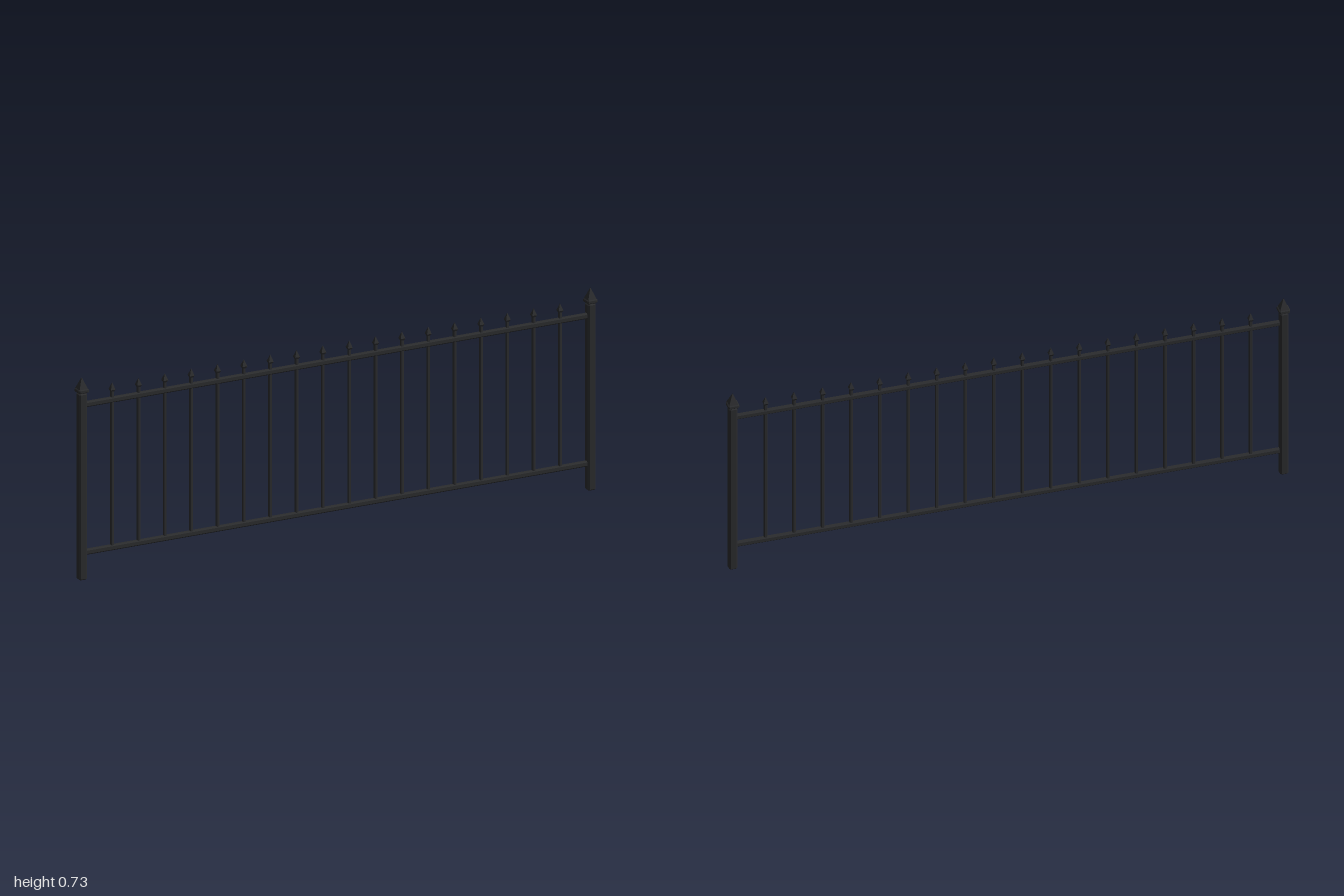
import * as THREE from 'three';

const iron = new THREE.MeshStandardMaterial({ color: 0x2a2b2d });
iron.name = 'blackIron';

// Box with every edge chamfered by c, running along +y from y = 0
function chamferedBar(w, length, d, c) {
  const x = w / 2 - c, z = d / 2 - c, k = c * 0.8;
  const shape = new THREE.Shape([
    [x - k, -z], [x, -z + k], [x, z - k], [x - k, z],
    [-x + k, z], [-x, z - k], [-x, -z + k], [-x + k, -z],
  ].map(([a, b]) => new THREE.Vector2(a, b)));
  const geo = new THREE.ExtrudeGeometry(shape, {
    depth: length - 2 * c, bevelEnabled: true, bevelSegments: 1, bevelSize: c, bevelThickness: c,
  });
  return geo.translate(0, 0, c).rotateX(-Math.PI / 2);
}

// Square-based frustum with flat sides, half widths r0 (bottom) and r1 (top)
function frustum(r0, r1, y0, y1) {
  const geo = new THREE.CylinderGeometry(r1 * Math.SQRT2, r0 * Math.SQRT2, y1 - y0, 4)
    .toNonIndexed();
  geo.rotateY(Math.PI / 4).translate(0, (y0 + y1) / 2, 0);
  geo.computeVertexNormals();
  return geo;
}

function add(parent, name, geo, x = 0, y = 0) {
  const mesh = new THREE.Mesh(geo, iron);
  mesh.name = name;
  mesh.position.set(x, y, 0);
  parent.add(mesh);
  return mesh;
}

export function createModel() {
  const fence = new THREE.Group();
  fence.name = 'fence';

  // End posts with a collar and a pyramid cap
  const postGeo = chamferedBar(0.031, 0.675, 0.031, 0.004);
  const neckGeo = frustum(0.012, 0.012, 0.672, 0.68);
  const collarGeo = chamferedBar(0.039, 0.014, 0.039, 0.003);
  const capGeo = frustum(0.0165, 0.0005, 0.69, 0.73);
  for (const side of [-1, 1]) {
    const post = new THREE.Group();
    post.name = side > 0 ? 'leftPost' : 'rightPost';
    post.position.x = side * 0.98;
    add(post, 'postShaft', postGeo);
    add(post, 'postNeck', neckGeo);
    add(post, 'postCollar', collarGeo, 0, 0.677);
    add(post, 'postCap', capGeo);
    fence.add(post);
  }

  // Horizontal rails
  const railGeo = chamferedBar(0.02, 1.94, 0.016, 0.003)
    .rotateZ(-Math.PI / 2).translate(-0.97, 0, 0);
  add(fence, 'topRail', railGeo, 0, 0.631);
  add(fence, 'bottomRail', railGeo, 0, 0.096);

  // Pickets with spear points
  const count = 18, spacing = 0.1015;
  const barGeo = chamferedBar(0.011, 0.57, 0.011, 0.0015);
  const flareGeo = frustum(0.0055, 0.009, 0.661, 0.668);
  const pointGeo = frustum(0.009, 0.0004, 0.668, 0.692);
  for (let i = 0; i < count; i++) {
    const picket = new THREE.Group();
    picket.name = `picket${i + 1}`;
    picket.position.x = (i - (count - 1) / 2) * spacing;
    add(picket, 'picketBar', barGeo, 0, 0.094);
    add(picket, 'spearFlare', flareGeo);
    add(picket, 'spearPoint', pointGeo);
    fence.add(picket);
  }
  return fence;
}
